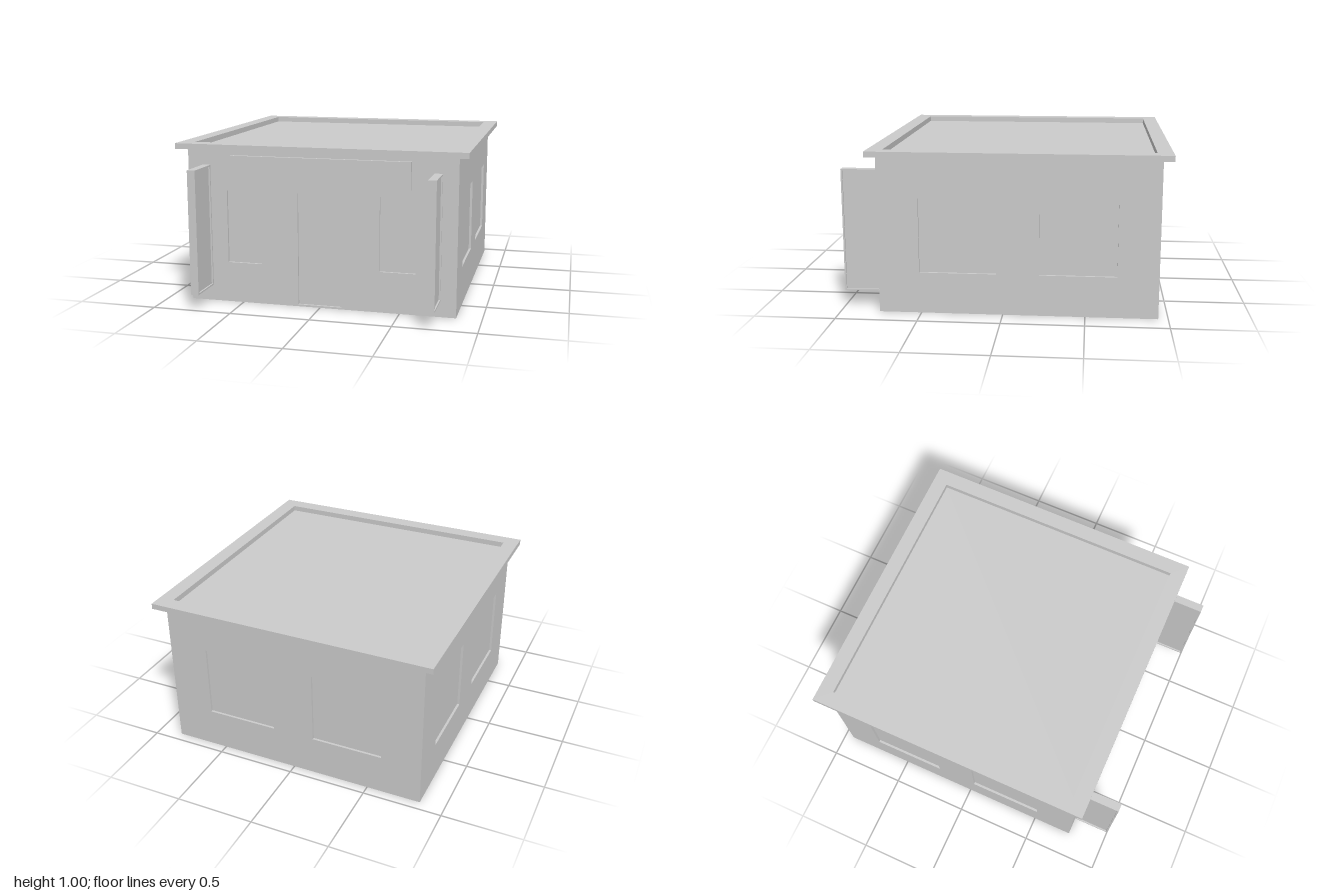
import * as THREE from 'three';

const material = new THREE.MeshStandardMaterial({ color: 0xcccccc });

function add(parent, name, geometry, x = 0, y = 0, z = 0) {
  const mesh = new THREE.Mesh(geometry, material);
  mesh.name = name;
  mesh.position.set(x, y, z);
  parent.add(mesh);
  return mesh;
}

// Rectangle outline [x0, y0, x1, y1] traced on a Shape or Path
function rect(path, [x0, y0, x1, y1]) {
  path.moveTo(x0, y0);
  path.lineTo(x1, y0);
  path.lineTo(x1, y1);
  path.lineTo(x0, y1);
  path.closePath();
  return path;
}

// Flat slab with rectangular openings, extruded along +z
function slab(outline, openings, depth) {
  const shape = rect(new THREE.Shape(), outline);
  shape.holes = openings.map((o) => rect(new THREE.Path(), o));
  return new THREE.ExtrudeGeometry(shape, { depth, bevelEnabled: false });
}

// The same opening on both sides of the wall's centre line
const pair = (x0, x1) => [[x0, 0.255, x1, 0.715], [-x1, 0.255, -x0, 0.715]];

export function createModel() {
  const model = new THREE.Group();
  model.name = 'shopBuilding';

  const halfW = 0.845, halfD = 0.85, height = 0.97, centreZ = -0.09, reveal = 0.015;

  // Solid core whose faces become the window panes, door leaf and roof deck
  const building = new THREE.Group();
  building.name = 'building';
  building.position.z = centreZ;
  model.add(building);
  add(building, 'core',
    new THREE.BoxGeometry(2 * (halfW - reveal), height, 2 * (halfD - reveal)), 0, height / 2, 0);

  // Wall skins with window and door openings
  const door = [-0.138, 0.012, 0.138, 0.715];
  const walls = [
    ['frontWall', 0, halfW, halfD, [...pair(0.375, 0.595), door]],
    ['leftWall', Math.PI / 2, halfD - reveal, halfW, pair(0.13, 0.6)],
    ['backWall', Math.PI, halfW, halfD, pair(0.135, 0.59)],
    ['rightWall', -Math.PI / 2, halfD - reveal, halfW, pair(0.13, 0.6)],
  ];
  for (const [name, angle, half, distance, openings] of walls) {
    const side = new THREE.Group();
    side.rotation.y = angle;
    building.add(side);
    add(side, name, slab([-half, 0, half, height], openings, reveal), 0, 0, distance - reveal);
  }

  // Overhanging roof rim around the sunken deck
  const rim = add(model, 'roofRim',
    slab([-0.907, -0.815, 0.907, 1], [[-0.812, -0.72, 0.812, 0.905]], 0.035), 0, height, 0);
  rim.rotation.x = -Math.PI / 2;

  // Sign board above the door
  add(model, 'signBoard', new THREE.BoxGeometry(1.13, 0.17, 0.022), 0, 0.85, 0.771);

  // Projecting side signs, framed on both faces
  for (const s of [-1, 1]) {
    const sign = new THREE.Group();
    sign.name = s > 0 ? 'leftProjectingSign' : 'rightProjectingSign';
    sign.position.set(s * 0.725, 0.485, 0.88);
    model.add(sign);
    add(sign, 'signPanel', new THREE.BoxGeometry(0.03, 0.77, 0.24));
    for (const face of [-1, 1]) {
      const frame = add(sign, 'signFrame',
        slab([-0.12, -0.385, 0.12, 0.385], [[-0.11, -0.375, 0.11, 0.375]], 0.01), face * 0.015, 0, 0);
      frame.rotation.y = face * Math.PI / 2;
    }
  }

  return model;
}
